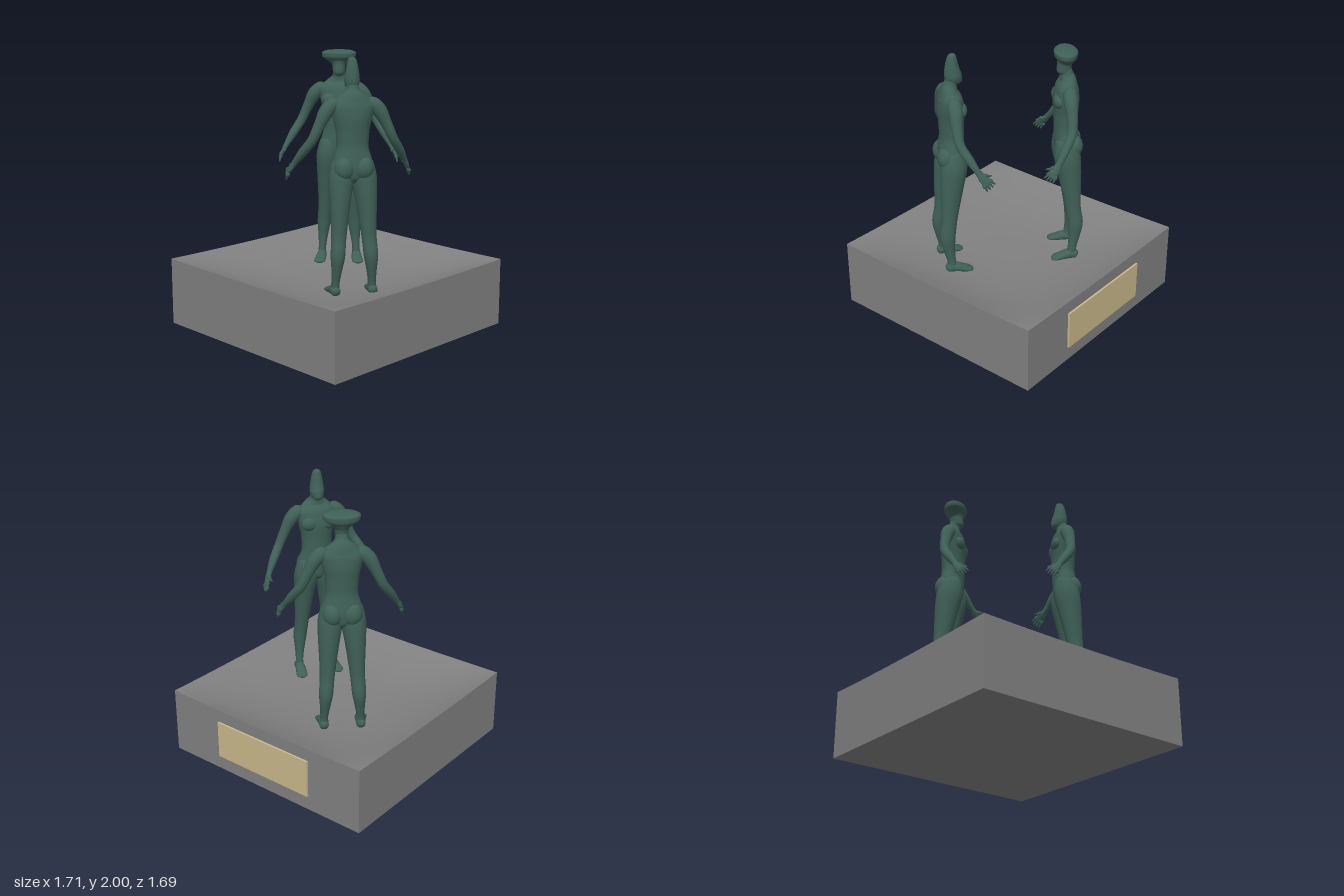
import * as THREE from 'three';

const mat = (name, color) => {
  const m = new THREE.MeshStandardMaterial({ color });
  m.name = name;
  return m;
};

const V = (x, y, z) => new THREE.Vector3(x, y, z);

// Smooth loft through elliptical sections [x, y, z, radiusU, radiusV]
function loft(sections, ref = V(0, 0, 1), rings = 28, sides = 20) {
  const path = new THREE.CatmullRomCurve3(sections.map(s => V(s[0], s[1], s[2])));
  const radii = new THREE.CatmullRomCurve3(sections.map(s => V(s[3], s[4] ?? s[3], 0)));
  const pos = [], idx = [];
  for (let i = 0; i <= rings; i++) {
    const k = i / rings, p = path.getPoint(k), t = path.getTangent(k), r = radii.getPoint(k);
    const u = t.clone().cross(ref).normalize(), v = u.clone().cross(t);
    const end = i === 0 || i === rings;
    const a = end ? 0.001 : Math.max(r.x, 0.001), b = end ? 0.001 : Math.max(r.y, 0.001);
    for (let j = 0; j < sides; j++) {
      const w = (j / sides) * Math.PI * 2;
      const q = p.clone().addScaledVector(u, a * Math.cos(w)).addScaledVector(v, b * Math.sin(w));
      pos.push(q.x, q.y, q.z);
      if (i < rings) {
        const c = i * sides + j, d = i * sides + (j + 1) % sides;
        idx.push(c, c + sides, d, d, c + sides, d + sides);
      }
    }
  }
  const g = new THREE.BufferGeometry();
  g.setAttribute('position', new THREE.Float32BufferAttribute(pos, 3));
  g.setIndex(idx);
  g.computeVertexNormals();
  return g;
}

const TORSO = [
  [0, 1.14, -0.01, 0.03, 0.03], [0, 1.19, -0.01, 0.115, 0.08], [0, 1.28, -0.01, 0.138, 0.09],
  [0, 1.4, 0, 0.11, 0.084], [0, 1.5, 0, 0.115, 0.087], [0, 1.6, 0, 0.136, 0.093],
  [0, 1.68, -0.005, 0.148, 0.082], [0, 1.735, -0.01, 0.1, 0.06], [0, 1.78, 0, 0.047, 0.046],
  [0, 1.83, 0.012, 0.04, 0.04], [0, 1.85, 0.015, 0.02, 0.02],
];
const POINTED_HEAD = [
  [0, 1.77, 0.035, 0.01, 0.01], [0, 1.795, 0.035, 0.04, 0.05], [0, 1.835, 0.022, 0.052, 0.06],
  [0, 1.89, 0.015, 0.047, 0.051], [0, 1.95, 0.015, 0.037, 0.038], [0, 1.985, 0.018, 0.027, 0.027],
  [0, 2.0, 0.018, 0.005, 0.005],
];
const FLAT_HEAD = [
  [0, 1.765, 0.025, 0.01, 0.01], [0, 1.8, 0.022, 0.043, 0.048], [0, 1.86, 0.015, 0.05, 0.052],
  [0, 1.888, 0.01, 0.078, 0.062], [0, 1.915, 0.008, 0.122, 0.08], [0, 1.945, 0.008, 0.126, 0.083],
  [0, 1.963, 0.008, 0.1, 0.065], [0, 1.972, 0.008, 0.01, 0.01],
];
const LEG = [
  [0.06, 1.34, 0, 0.03, 0.03], [0.07, 1.29, 0, 0.07, 0.078], [0.08, 1.18, -0.01, 0.087, 0.095],
  [0.09, 1.05, -0.028, 0.075, 0.084], [0.1, 0.87, -0.048, 0.058, 0.064], [0.107, 0.76, -0.06, 0.051, 0.055],
  [0.115, 0.66, -0.075, 0.05, 0.056], [0.122, 0.55, -0.068, 0.036, 0.041],
  [0.128, 0.46, -0.055, 0.028, 0.032], [0.13, 0.4, -0.05, 0.031, 0.036], [0.13, 0.375, -0.05, 0.02, 0.02],
];
const FOOT = [
  [0.13, 0.4, -0.1, 0.01, 0.01], [0.13, 0.403, -0.085, 0.032, 0.032], [0.132, 0.405, -0.03, 0.036, 0.037],
  [0.138, 0.392, 0.03, 0.041, 0.026], [0.145, 0.383, 0.075, 0.041, 0.016], [0.147, 0.378, 0.1, 0.015, 0.008],
];
const ARM = [
  [0.1, 1.69, -0.01, 0.03], [0.135, 1.685, -0.01, 0.048], [0.178, 1.645, -0.012, 0.05],
  [0.225, 1.56, -0.018, 0.039], [0.277, 1.45, -0.012, 0.033], [0.335, 1.36, 0.035, 0.031],
  [0.383, 1.28, 0.083, 0.02, 0.022], [0.405, 1.24, 0.112, 0.016, 0.033], [0.42, 1.21, 0.138, 0.01, 0.028],
];

function createFigure(name, headSections, material) {
  const figure = new THREE.Group();
  figure.name = name;
  const add = (part, geometry) => {
    const m = new THREE.Mesh(geometry, material);
    m.name = part;
    figure.add(m);
    return m;
  };
  const ball = (part, p, s) => {
    const m = add(part, new THREE.SphereGeometry(1, 20, 14));
    m.position.set(...p);
    m.scale.set(...s);
  };
  add('torso', loft(TORSO, undefined, 44, 28));
  add('head', loft(headSections, undefined, 32, 28));

  for (const side of [1, -1]) {
    const label = side > 0 ? 'left' : 'right';
    const flip = list => list.map(([x, ...rest]) => [x * side, ...rest]);
    add(label + 'Leg', loft(flip(LEG), undefined, 40));
    add(label + 'Foot', loft(flip(FOOT), V(0, 1, 0)));
    add(label + 'Arm', loft(flip(ARM), undefined, 40));
    ball(label + 'Buttock', [side * 0.066, 1.255, -0.052], [0.071, 0.085, 0.068]);
    ball(label + 'Pectoral', [side * 0.062, 1.605, 0.055], [0.066, 0.055, 0.042]);

    // fingers fan out across the palm, thumb sits forward
    const along = V(0.22, -0.77, 0.6), across = V(-0.15, 0.57, 0.8);
    const digit = (part, base, tip, r) => {
      const mid = base.clone().lerp(tip, 0.55).add(V(0.006, 0, 0));
      add(part, loft(flip([[...base.toArray(), r], [...mid.toArray(), r], [...tip.toArray(), r * 0.55]]), undefined, 8, 8));
    };
    for (let i = 0; i < 4; i++) {
      const k = i - 1.5;
      const base = V(0.411, 1.228, 0.12).addScaledVector(across, k * 0.015);
      const tip = base.clone().addScaledVector(along, 0.078 - Math.abs(k) * 0.006).addScaledVector(across, k * 0.009);
      digit(label + 'Finger' + (i + 1), base, tip, 0.0085);
    }
    digit(label + 'Thumb', V(0.395, 1.262, 0.105), V(0.385, 1.245, 0.175), 0.0095);
  }
  return figure;
}

export function createModel() {
  const bronze = mat('green bronze', 0x3f6057);
  const stone = mat('grey stone', 0x808080);
  const brass = mat('pale brass', 0xc8b78a);
  const model = new THREE.Group();
  model.name = 'statueGroup';

  // plinth with a dished top
  const slab = new THREE.BoxGeometry(1.69, 0.49, 1.69, 32, 1, 32);
  const p = slab.attributes.position;
  for (let i = 0; i < p.count; i++) {
    if (p.getY(i) < 0) continue;
    const u = Math.abs(p.getX(i) / 0.845), v = Math.abs(p.getZ(i) / 0.845);
    const dish = Math.max(0, (1 - u ** 3) * (1 - v ** 3));
    const rim = 0.01 * (1 - u * u) + 0.01 * (1 - v * v);
    p.setY(i, 0.245 - rim - 0.115 * dish);
  }
  slab.computeVertexNormals();
  const plinth = new THREE.Mesh(slab, stone);
  plinth.name = 'plinth';
  plinth.position.set(-0.01, 0.245, 0);
  model.add(plinth);

  // plaque on the left side of the plinth
  const plaque = new THREE.Mesh(new THREE.BoxGeometry(0.02, 0.28, 0.82), brass);
  plaque.name = 'plaque';
  plaque.position.set(0.84, 0.25, 0);
  model.add(plaque);

  // two figures facing one another
  const first = createFigure('pointedHeadFigure', POINTED_HEAD, bronze);
  first.position.set(-0.225, 0, 0.375);
  first.rotation.y = Math.atan2(0.55, -0.835);
  const second = createFigure('flatHeadFigure', FLAT_HEAD, bronze);
  second.position.set(0.28, 0, -0.26);
  second.rotation.y = Math.atan2(-0.73, 0.69);
  model.add(first, second);
  return model;
}
